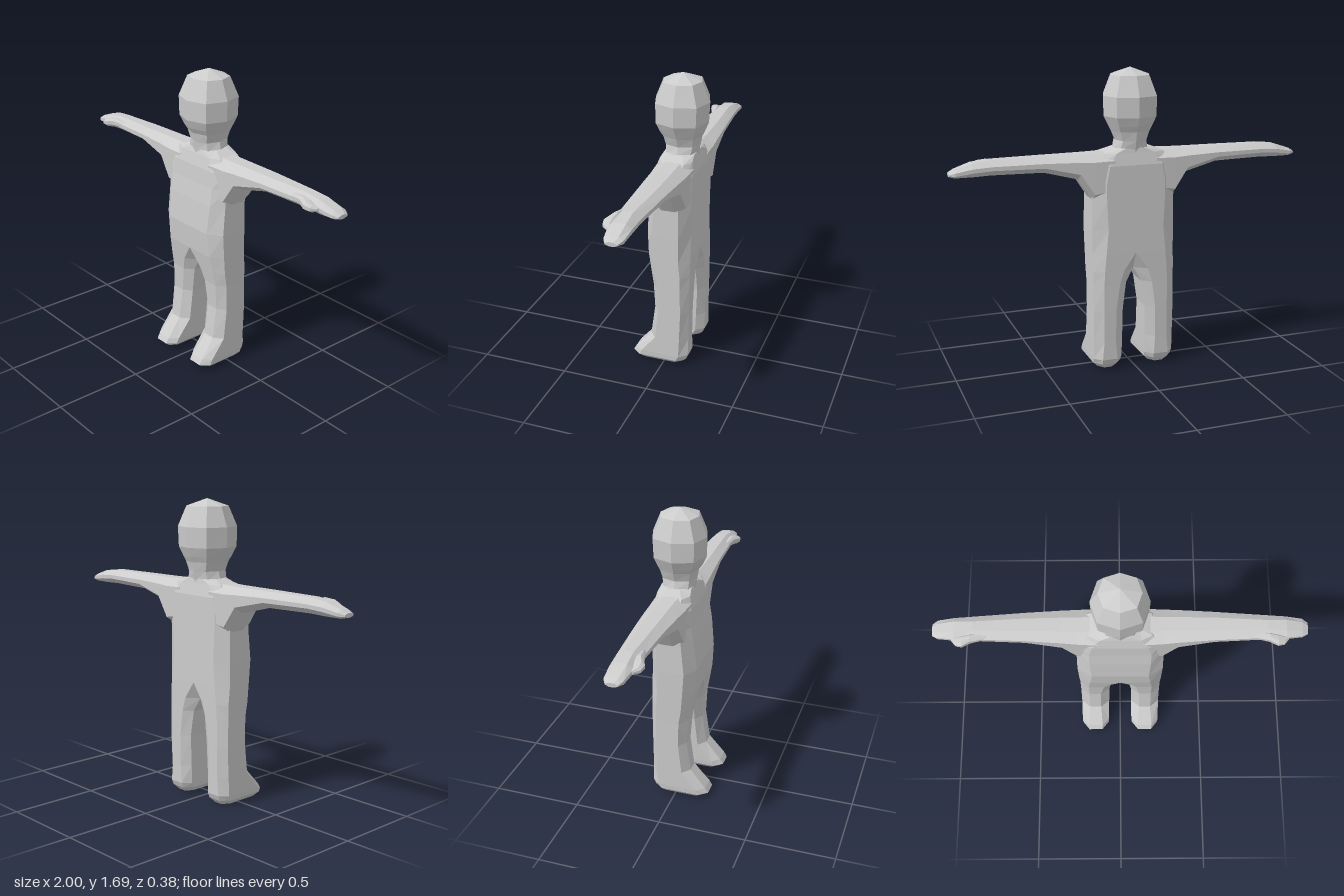
import * as THREE from 'three';

const material = new THREE.MeshStandardMaterial({ color: 0xcccccc, flatShading: true });

// Skin a list of equal-length rings with flat faces and close both ends.
function loft(name, rings) {
  const pos = [];
  const tri = (a, b, c) => {
    const onSeam = [a, b, c].every((p) => Math.abs(p.x) < 1e-5);
    const area = b.clone().sub(a).cross(c.clone().sub(a)).length();
    if (!onSeam && area > 1e-7) for (const p of [a, b, c]) pos.push(p.x, p.y, p.z);
  };
  const centre = (ring) => ring.reduce((s, p) => s.add(p), new THREE.Vector3()).divideScalar(ring.length);
  const n = rings[0].length;
  const first = rings[0], last = rings[rings.length - 1];
  const c0 = centre(first), c1 = centre(last);
  for (let j = 0; j < n; j++) {
    const k = (j + 1) % n;
    for (let i = 0; i < rings.length - 1; i++) {
      const a = rings[i], b = rings[i + 1];
      tri(a[j], a[k], b[k]);
      tri(a[j], b[k], b[j]);
    }
    tri(c0, first[k], first[j]);
    tri(c1, last[j], last[k]);
  }
  const geo = new THREE.BufferGeometry();
  geo.setAttribute('position', new THREE.Float32BufferAttribute(pos, 3));
  geo.computeVertexNormals();
  const mesh = new THREE.Mesh(geo, material);
  mesh.name = name;
  return mesh;
}

// Rectangle with cut corners; ci and di are the cuts on the u0 side.
function cutBox(u0, u1, v0, v1, c, d, ci = c, di = d) {
  return [
    [u0 + ci, v1], [u1 - c, v1], [u1, v1 - d], [u1, v0 + d],
    [u1 - c, v0], [u0 + ci, v0], [u0, v0 + di], [u0, v1 - di],
  ];
}

// Section across y, and section across x.
const levelRing = (y, pts) => pts.map(([x, z]) => new THREE.Vector3(x, y, z));
const armRing = (x, pts) => pts.map(([z, y]) => new THREE.Vector3(x, y, z));

function makeHead() {
  // y, half width, back z, front z
  const rows = [
    [1.2, 0.12, -0.13, 0.05], [1.25, 0.105, -0.13, 0.055], [1.3, 0.09, -0.14, 0.06],
    [1.35, 0.11, -0.15, 0.07], [1.38, 0.125, -0.165, 0.09], [1.43, 0.15, -0.185, 0.112],
    [1.54, 0.153, -0.19, 0.115], [1.65, 0.11, -0.145, 0.07], [1.69, 0.002, -0.042, -0.038],
  ];
  return loft('head', rows.map(([y, w, z0, z1]) => {
    const pts = [];
    for (let i = 0; i < 8; i++) {
      const t = (i * Math.PI) / 4;
      const k = i % 2 ? 1.06 : 1;
      pts.push([w * k * Math.sin(t), (z0 + z1) / 2 + ((z1 - z0) / 2) * k * Math.cos(t)]);
    }
    return levelRing(y, pts);
  }));
}

function makeBodyHalf() {
  // y, inner x, outer x, back z, front z, outer cut x/z, inner cut x/z
  const rows = [
    [0.005, 0.1, 0.205, -0.1, 0.16, 0.03, 0.04],
    [0.035, 0.072, 0.234, -0.128, 0.193, 0.04, 0.05],
    [0.065, 0.07, 0.236, -0.14, 0.175, 0.04, 0.045],
    [0.17, 0.068, 0.236, -0.14, 0.085, 0.05, 0.04],
    [0.35, 0.066, 0.236, -0.142, 0.06, 0.05, 0.035],
    [0.5, 0.045, 0.236, -0.143, 0.068, 0.05, 0.04],
    [0.58, 0, 0.237, -0.144, 0.082, 0.055, 0.04, 0.07, 0.05],
    [0.68, 0, 0.238, -0.145, 0.1, 0.065, 0.05, 0, 0],
    [0.82, 0, 0.24, -0.145, 0.11, 0.08, 0.05, 0, 0],
    [0.98, 0, 0.238, -0.145, 0.095, 0.07, 0.05, 0, 0],
    [1.08, 0, 0.238, -0.145, 0.08, 0.07, 0.04, 0, 0],
    [1.17, 0, 0.23, -0.145, 0.072, 0.08, 0.03, 0, 0],
    [1.235, 0, 0.17, -0.13, 0.055, 0.06, 0.03, 0, 0],
    [1.26, 0, 0.105, -0.125, 0.045, 0.05, 0.05, 0, 0],
  ];
  return loft('torsoAndLeg', rows.map(([y, ...r]) => levelRing(y, cutBox(...r))));
}

function makeArm() {
  // x, back z, front z, bottom y, top y, cut z, cut y
  const rows = [
    [0.12, -0.142, 0.068, 1.0, 1.24, 0.06, 0.04],
    [0.232, -0.138, 0.06, 0.98, 1.237, 0.06, 0.04],
    [0.31, -0.133, 0.054, 1.1, 1.236, 0.055, 0.035],
    [0.5, -0.12, 0.042, 1.15, 1.235, 0.045, 0.03],
    [0.78, -0.1, 0.03, 1.152, 1.233, 0.04, 0.03],
    [0.88, -0.095, 0.026, 1.15, 1.222, 0.03, 0.025],
    [0.97, -0.088, 0.012, 1.15, 1.193, 0.025, 0.013],
    [1.0, -0.07, -0.005, 1.156, 1.178, 0.02, 0.008],
  ];
  return loft('armAndHand', rows.map(([x, ...r]) => armRing(x, cutBox(...r))));
}

function makeThumb() {
  const rows = [
    [0.71, 0.0, 0.028, 1.18, 1.215, 0.01, 0.01],
    [0.79, 0.0, 0.047, 1.175, 1.226, 0.015, 0.014],
    [0.835, 0.005, 0.068, 1.17, 1.218, 0.018, 0.014],
    [0.87, 0.01, 0.06, 1.17, 1.205, 0.015, 0.01],
    [0.895, 0.01, 0.03, 1.175, 1.195, 0.006, 0.006],
  ];
  return loft('thumb', rows.map(([x, ...r]) => armRing(x, cutBox(...r))));
}

export function createModel() {
  const model = new THREE.Group();
  model.name = 'figure';
  model.add(makeHead());
  // The two halves of the body mirror each other across x = 0.
  for (const side of [1, -1]) {
    const half = new THREE.Group();
    half.name = side > 0 ? 'leftHalf' : 'rightHalf';
    half.add(makeBodyHalf(), makeArm(), makeThumb());
    half.scale.x = side;
    model.add(half);
  }
  return model;
}
